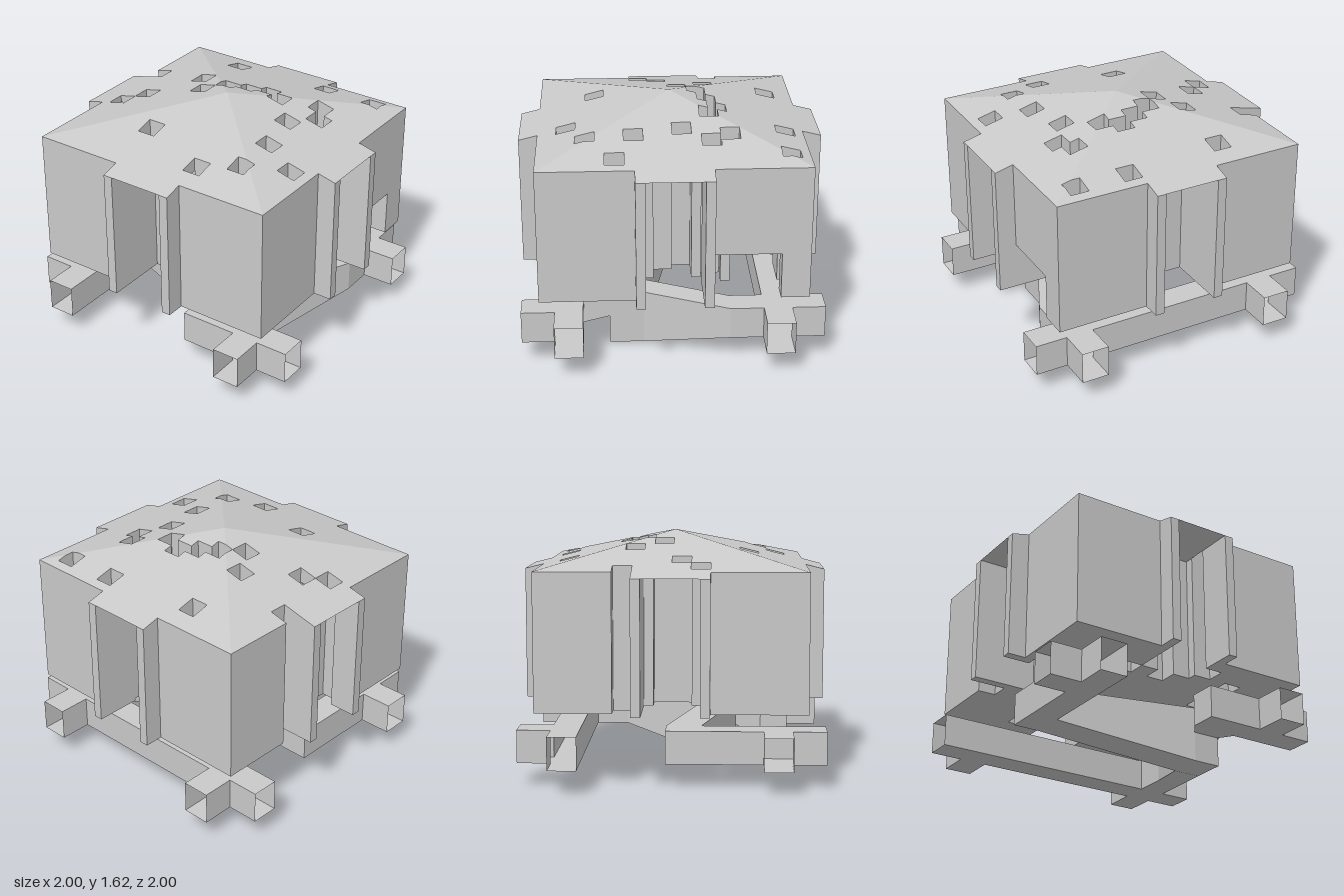
import * as THREE from 'three';

const U = 1 / 16;            // plan module
const FLOOR = 0.502;         // underside of the hall
const CEILING = 1.375;       // ceiling of the porches
const BREAK = 0.815;         // top of the broken wall opening

// Square shafts cut vertically through the hall: [x, z] of the low corner, in modules, each 2 wide
const SHAFTS = [
  [-4, -13], [-2, -11], [3, -7], [10, -7], [-9, -5], [0, -5], [2, -3], [3, -1], [4, 1], [3, 3],
  [-12, 3], [11, 4], [-10, 7], [-5, 7], [0, 6], [5, 7], [3, 8], [11, 10], [-7, 11], [4, -14],
];

// Pyramid roof height
const roofY = (i, k) => 1.625 - 0.25 * Math.max(Math.abs(i), Math.abs(k)) * U;

// Cell (i, k) covers i..i+1, k..k+1 in modules
function filled(i, k) {
  const x = Math.abs(i + 0.5), z = Math.abs(k + 0.5);
  if (x > 16 || z > 16) return false;
  if ((x > 14 && z > 4) || (z > 14 && x > 4)) return false;
  return !SHAFTS.some(([a, b]) => i >= a && i < a + 2 && k >= b && k < b + 2);
}

// Height of the underside of cell (ci, ck) at plan point (i, k)
function underY(ci, ck, i, k) {
  const x = ci + 0.5, z = ck + 0.5;
  const alcove = (a, d, w) => (d > 9 && Math.abs(a) < 3) || (d > 7 && Math.abs(a) < w);
  if (alcove(x, Math.abs(z), 2) || alcove(z, Math.abs(x), 1)) return CEILING;
  // broken corner of the front wall, with a sloping ceiling behind it
  if (x > 6 && x < 11 && z > 0) {
    return Math.max(FLOOR, Math.min(BREAK, BREAK - (0.68 - k * U) * 0.6));
  }
  if (x > 4 && x < 6 && z > 10) return BREAK;
  return FLOOR;
}

function pushQuad(out, a, b, c, d) {
  out.push(...a, ...b, ...c, ...a, ...c, ...d);
}

function toMesh(points, material, name) {
  const g = new THREE.BufferGeometry();
  g.setAttribute('position', new THREE.Float32BufferAttribute(points, 3));
  g.computeVertexNormals();
  const m = new THREE.Mesh(g, material);
  m.name = name;
  return m;
}

// Hall: roof, walls and underside from the plan cells
function buildHall(material) {
  const roof = [], walls = [], under = [];
  for (let i = -16; i < 16; i++) {
    for (let k = -16; k < 16; k++) {
      if (!filled(i, k)) continue;
      const corners = [[i, k], [i, k + 1], [i + 1, k + 1], [i + 1, k]];
      const top = corners.map(([a, b]) => [a * U, roofY(a, b), b * U]);
      const low = corners.map(([a, b]) => [a * U, underY(i, k, a, b), b * U]);
      // split each roof cell along the hip line it may lie on
      const s = (i + 0.5) * (k + 0.5) > 0 ? 0 : 1;
      pushQuad(roof, top[s], top[s + 1], top[(s + 2) % 4], top[(s + 3) % 4]);
      pushQuad(under, low[3], low[2], low[1], low[0]);
      // side faces, in the order of the corner loop
      [[-1, 0], [0, 1], [1, 0], [0, -1]].forEach(([di, dk], e) => {
        const f = (e + 1) % 4;
        const ni = i + di, nk = k + dk;
        let upA = top[e], upB = top[f];
        if (filled(ni, nk)) {
          const ya = underY(ni, nk, ...corners[e]), yb = underY(ni, nk, ...corners[f]);
          if (ya <= low[e][1] + 1e-6 && yb <= low[f][1] + 1e-6) return;
          upA = [low[e][0], Math.max(ya, low[e][1]), low[e][2]];
          upB = [low[f][0], Math.max(yb, low[f][1]), low[f][2]];
        }
        pushQuad(walls, low[e], low[f], upB, upA);
      });
    }
  }
  const hall = new THREE.Group();
  hall.name = 'hall';
  hall.add(toMesh(roof, material, 'roof'), toMesh(walls, material, 'walls'), toMesh(under, material, 'underside'));
  return hall;
}

// Hollow open-ended beam through stations [x1, z1, x2, z2, bottom];
// faces: 0 bottom, 1 second side, 2 top, 3 first side
function buildBeam(stations, material, name, faces = [0, 1, 2, 3]) {
  const rings = stations.map(([x1, z1, x2, z2, b]) => [
    [x1, b, z1], [x2, b, z2], [x2, 0.375, z2], [x1, 0.375, z1],
  ]);
  const out = [];
  for (let s = 0; s < rings.length - 1; s++) {
    for (const e of faces) {
      const f = (e + 1) % 4;
      pushQuad(out, rings[s][e], rings[s][f], rings[s + 1][f], rings[s + 1][e]);
    }
  }
  return toMesh(out, material, name);
}

export function createModel() {
  const stone = new THREE.MeshStandardMaterial({ color: 0xcacaca });
  stone.name = 'grey stone';
  stone.side = THREE.DoubleSide;

  const model = new THREE.Group();
  model.name = 'ruinedHall';
  model.add(buildHall(stone));

  const frame = new THREE.Group();
  frame.name = 'beamFrame';
  const N = 0.593, F = 0.78, B = 0.158;
  const alongX = (x1, x2, side, name, faces) => frame.add(buildBeam(
    [x2, x1].map((x) => [x, side * N, x, side * F, B]), stone, name, faces));
  const alongZ = (z1, z2, side, name, faces) => frame.add(buildBeam(
    [z1, z2].map((z) => [side * N, z, side * F, z, B]), stone, name, faces));

  // four crossings with their open ends
  for (const sx of [1, -1]) {
    for (const sz of [1, -1]) {
      alongX(sx * F, sx, sz, 'crossingEndSide');
      alongZ(sz * F, sz, sx, 'crossingEndFrontBack');
    }
  }
  alongX(N, F, 1, 'crossingFrontLeft', [0, 2]);
  alongX(-F, -N, -1, 'crossingBackRight', [0, 2, 3]);
  alongZ(-F, -N, 1, 'crossingBackLeft', [0, 2, 3]);
  alongZ(N, F, -1, 'crossingFrontRight', [0, 2, 3]);

  // intact beam on the left
  alongZ(-N, N, 1, 'leftBeam');

  // front beam bends inwards, sags to the ground and turns into the right beam
  frame.add(buildBeam([
    [N, N, N, F, B], [0.375, N, 0.375, F, B], [-0.19, 0.33, -0.19, 0.52, 0],
    [-0.42, 0.33, -0.42, 0.52, 0], [-0.42, 0.33, -0.42, 0.52, 0.2],
    [-N, 0.2, -N, 0.52, B], [-F, 0.2, -N, 0.52, B], [-F, 0.52, -N, 0.52, B], [-F, N, -N, N, B],
  ], stone, 'saggingFrontBeam'));

  // back beam turns into a slanting brace down to the sag
  frame.add(buildBeam([
    [-N, -N, -N, -F, B], [-0.19, -N, -0.19, -F, B], [-0.19, -N, 0.04, -F, B],
    [-0.19, -N, 0.04, -N, B], [-0.42, 0.33, -0.19, 0.33, 0],
  ], stone, 'backBeamAndBrace'));

  model.add(frame);
  return model;
}
